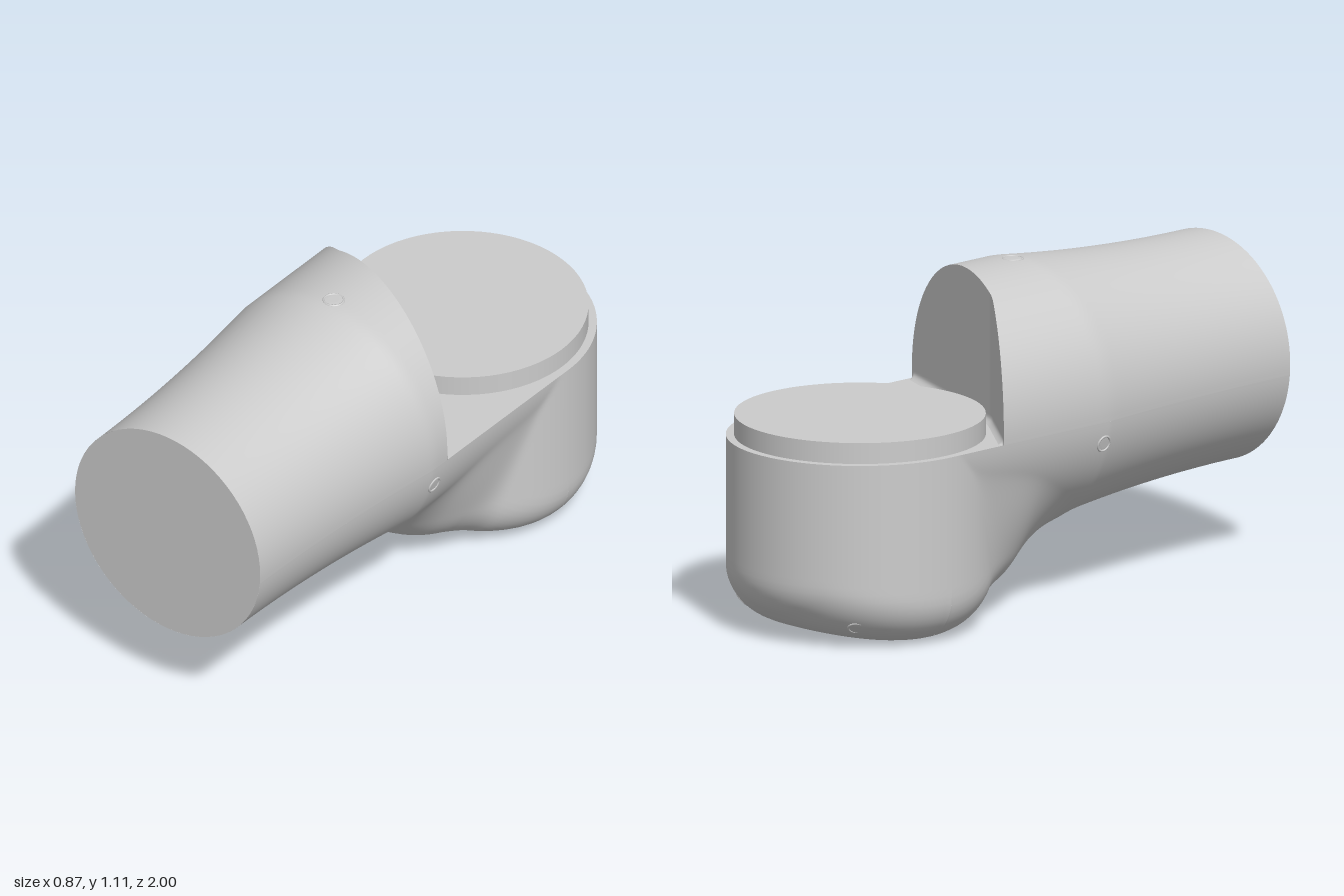
import * as THREE from 'three';

const R = 0.437, AXIS = 0.667, FLOOR = 0.63, CUP_Z = -0.563;
const grey = new THREE.MeshStandardMaterial({ color: 0xcccccc, side: THREE.DoubleSide });
const step = (t) => THREE.MathUtils.smoothstep(t, 0, 1);

// Sleeve radius along its axis, and plan line of the cut-away wall
const sleeveR = (z) => (z < 0.15 ? R : 0.382 + 0.055 * ((1 - z) / 0.85) ** 2);
const wallZ = (x) => Math.min(0.376 * x - 0.085, 0.72 * x - 0.016);

// Distance to the vertical cup: round-bottomed, with a saddle-shaped rim
function cupDistance(x, y, z) {
  const dz = z - CUP_Z;
  const qx = Math.hypot(x, dz) - 0.277;
  const qy = 0.16 - (y - 0.03 * Math.min((dz / 0.28) ** 2, 1.8));
  return Math.min(Math.max(qx, qy), 0) + Math.hypot(Math.max(qx, 0), Math.max(qy, 0)) - 0.16;
}

// Smooth union of sleeve and cup; the fillet fades towards the sides and back
function bodyDistance(x, y, z, k) {
  const a = Math.hypot(x, y - AXIS) - sleeveR(z), b = cupDistance(x, y, z);
  const h = Math.max(k - Math.abs(a - b), 0);
  return Math.min(a, b) - (h * h) / (4 * k);
}

// Walk a ray from the inside to the surface, then press in the base dimple
function castOut(z0, dx, dy, dz, distance) {
  let lo = 0, hi = 1.1;
  for (let i = 0; i < 30; i++) {
    const t = (lo + hi) / 2;
    if (distance(dx * t, FLOOR + dy * t, z0 + dz * t) < 0) lo = t; else hi = t;
  }
  const p = [dx * lo, FLOOR + dy * lo, z0 + dz * lo];
  if (p[1] < 0.2) p[1] += 0.06 * step((0.28 - Math.hypot(p[0], p[2] - CUP_Z)) / 0.08);
  return p;
}

// Surface from a rule over u, v in 0..1
function surface(name, nu, nv, rule) {
  const pos = [], index = [];
  for (let j = 0; j <= nv; j++) {
    for (let i = 0; i <= nu; i++) {
      pos.push(...rule(i / nu, j / nv));
      if (i < nu && j < nv) {
        const a = j * (nu + 1) + i, b = a + 1, c = a + nu + 1;
        index.push(a, b, c + 1, a, c + 1, c);
      }
    }
  }
  const g = new THREE.BufferGeometry();
  g.setAttribute('position', new THREE.Float32BufferAttribute(pos, 3));
  g.setIndex(index);
  g.computeVertexNormals();
  return named(name, g);
}

function named(name, geometry) {
  const mesh = new THREE.Mesh(geometry, grey);
  mesh.name = name;
  return mesh;
}

// Small screw: a ring with a sunken-looking centre, facing along a direction
function screw(name, position, direction, radius) {
  const group = new THREE.Group();
  group.name = name;
  group.add(named('screwRim', new THREE.TorusGeometry(radius, 0.004, 8, 28)));
  const face = named('screwFace', new THREE.CircleGeometry(radius * 0.55, 20));
  face.position.z = 0.004;
  group.add(face);
  group.position.set(...position);
  group.quaternion.setFromUnitVectors(
    new THREE.Vector3(0, 0, 1), new THREE.Vector3(...direction).normalize());
  return group;
}

export function createModel() {
  const model = new THREE.Group();
  model.name = 'elbowHousing';

  // Lower half of the sleeve blending into the front of the cup
  model.add(surface('lowerBody', 96, 110, (u, v) => {
    const phi = (u - 0.5) * Math.PI;
    const z = v < 0.75 ? CUP_Z + (v / 0.75) * 0.863 : 0.3 + ((v - 0.75) / 0.25) * 0.7;
    const k = 1e-4 + 0.45 * Math.cos(phi) * step((z + 0.5) / 0.4);
    return castOut(z, Math.sin(phi), -Math.cos(phi), 0,
      (x, y, zz) => bodyDistance(x, y, zz, k));
  }));

  // Back half of the cup
  model.add(surface('cupBack', 56, 64, (u, v) => {
    const phi = (u * Math.PI) / 2, th = v * Math.PI;
    return castOut(CUP_Z, -Math.sin(phi) * Math.cos(th), -Math.cos(phi),
      -Math.sin(phi) * Math.sin(th), cupDistance);
  }));

  // Upper half of the sleeve, running back to the slanted wall
  model.add(surface('upperSleeve', 72, 40, (u, v) => {
    const wide = Math.acos((FLOOR - AXIS) / R) * (2 * u - 1);
    const z = 1 + (wallZ(R * Math.sin(wide)) - 1) * v;
    const r = sleeveR(z), a = Math.acos((FLOOR - AXIS) / r) * (2 * u - 1);
    return [r * Math.sin(a), AXIS + r * Math.cos(a), z];
  }));

  // Slanted wall with a small fillet at its foot
  model.add(surface('slantedWall', 72, 24, (u, v) => {
    const a = Math.acos((FLOOR - AXIS) / R) * (1 - 2 * u);
    const x = R * Math.sin(a), h = (AXIS + R * Math.cos(a) - FLOOR) * v * v;
    const f = Math.max(0, 1 - h / 0.02);
    return [x, FLOOR + h, wallZ(x) - 0.02 * f * f * step((R - Math.abs(x)) / 0.02)];
  }));

  // Flat floor on top of the cup
  const outline = [];
  for (let i = 0; i <= 24; i++) {
    const x = 0.4354 * (i / 12 - 1);
    outline.push(new THREE.Vector2(x, -wallZ(x)));
  }
  for (let i = 0; i <= 64; i++) {
    const t = (i / 64) * Math.PI;
    outline.push(new THREE.Vector2(R * Math.cos(t), -CUP_Z + R * Math.sin(t)));
  }
  const floor = named('cupFloor', new THREE.ShapeGeometry(new THREE.Shape(outline)));
  floor.rotation.x = -Math.PI / 2;
  floor.position.y = FLOOR;
  model.add(floor);

  // Turntable disc
  const disc = named('disc', new THREE.CylinderGeometry(0.41, 0.41, 0.07, 72));
  disc.position.set(0, FLOOR + 0.035, CUP_Z);
  model.add(disc);

  // Sleeve end cap
  const cap = named('sleeveEnd', new THREE.CircleGeometry(0.382, 72));
  cap.position.set(0, AXIS, 1);
  model.add(cap);

  // Screws on the sleeve and at the back corners of the cup
  model.add(screw('topScrew', [0, AXIS + R - 0.002, 0.12], [0, 1, 0], 0.033));
  for (const s of [-1, 1]) {
    model.add(screw('sideScrew', [s * 0.422, 0.555, 0.13], [s, -0.26, 0], 0.026));
    model.add(screw('cupScrew', [s * 0.27, 0.073, CUP_Z - 0.27], [s, -1.4, -1], 0.026));
  }
  return model;
}
